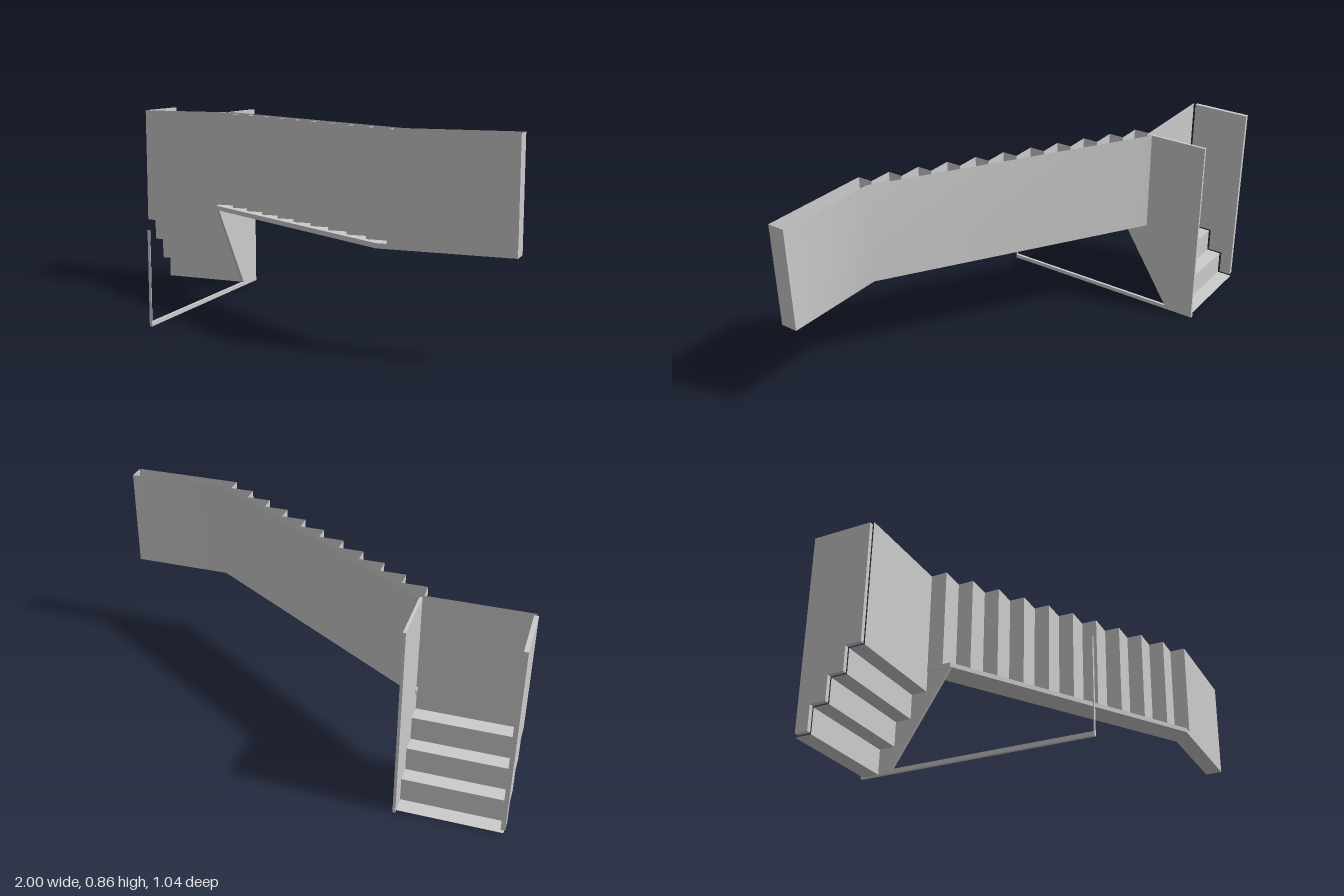
import * as THREE from 'three';

const solid = new THREE.MeshStandardMaterial({ color: 0xcccccc });
const thin = new THREE.MeshStandardMaterial({ color: 0xcccccc, side: THREE.DoubleSide });

function extrude(points, depth) {
  const shape = new THREE.Shape(points.map(([a, b]) => new THREE.Vector2(a, b)));
  return new THREE.ExtrudeGeometry(shape, { depth, bevelEnabled: false });
}

// Thin sheet: a polyline swept between two ends; at(a, b, end) places each point
function sheet(points, at, smooth = false) {
  const pos = [], index = [];
  points.forEach(([a, b], i) => {
    pos.push(...at(a, b, 0), ...at(a, b, 1));
    if (i) {
      const k = 2 * i;
      index.push(k - 2, k, k - 1, k - 1, k, k + 1);
    }
  });
  let g = new THREE.BufferGeometry();
  g.setAttribute('position', new THREE.Float32BufferAttribute(pos, 3));
  g.setIndex(index);
  if (!smooth) g = g.toNonIndexed();
  g.computeVertexNormals();
  return g;
}

export function createModel() {
  const group = new THREE.Group();
  const add = (name, geometry, material = solid) => {
    const mesh = new THREE.Mesh(geometry, material);
    mesh.name = name;
    group.add(mesh);
    return mesh;
  };
  const bottom = 0.412, top = 0.862;
  const upright = (x, z, end) => [x, end ? top : bottom, z];   // plan (x, z) swept up
  const across = (z, y, end) => [end ? -0.55 : -0.995, y, z];  // section (z, y) swept sideways

  // Upper flight: saw-tooth wall of ten steps, ending in a straight front panel
  const teeth = [[-0.56, -0.235], [-0.56, -0.165]];
  for (let i = 0; i < 10; i++) {
    const x = -0.455 + i * 0.1065, z = -0.165 + i * 0.0682;
    teeth.push([x, z], [x, z + 0.0682]);
  }
  teeth.push([0.998, 0.517]);
  add('upperSteps', sheet(teeth, upright), thin);

  // Smooth back wall and its flat end
  const back = [[-0.545, -0.26], [0.545, 0.44], [1, 0.44]];
  add('backWall', sheet(back, upright, true), thin);
  add('endWall', sheet([[1, 0.44], [1, 0.517]], upright), thin);

  // Flat base plate beneath the upper flight
  const base = extrude([[-0.56, -0.13], [-0.56, -0.26], ...back, [1, 0.517], [0.46, 0.517]], 0.02);
  add('basePlate', base.rotateX(Math.PI / 2)).position.y = 0.432;

  // Lower flight: floor, three steps and the tall panel above them
  const steps = [[-0.51, 0.004]];
  for (let i = 0; i < 4; i++) {
    const z = -0.44 + i * 0.068, y = 0.004 + i * 0.107;
    steps.push([z, y], [z, i < 3 ? y + 0.107 : top]);
  }
  add('lowerSteps', sheet(steps, across), thin);

  // Outer side wall, stepped along its lower edge
  const side = [[-0.51, 0.018]];
  for (let i = 0; i < 4; i++) {
    const z = -0.455 + i * 0.068, y = 0.018 + i * 0.107;
    side.push([z, y], [z, i < 3 ? y + 0.107 : top]);
  }
  side.push([-0.51, top]);
  add('outerSideWall', extrude(side, 0.018).rotateY(-Math.PI / 2)).position.x = -0.982;

  // Inner side wall with a sloping lower edge
  const inner = extrude([[-0.52, 0], [-0.38, 0], [-0.38, 0.018], [-0.13, 0.412],
    [-0.13, 0.432], [-0.25, 0.432], [-0.25, top], [-0.52, top]], 0.012);
  add('innerSideWall', inner.rotateY(-Math.PI / 2)).position.x = -0.545;

  // Floor rail and the slim post at its far end
  add('floorRail', new THREE.BoxGeometry(0.012, 0.018, 1.005)).position.set(-0.551, 0.009, -0.02);
  add('post', new THREE.BoxGeometry(0.012, 0.41, 0.003)).position.set(-0.551, 0.205, 0.481);

  return group;
}
